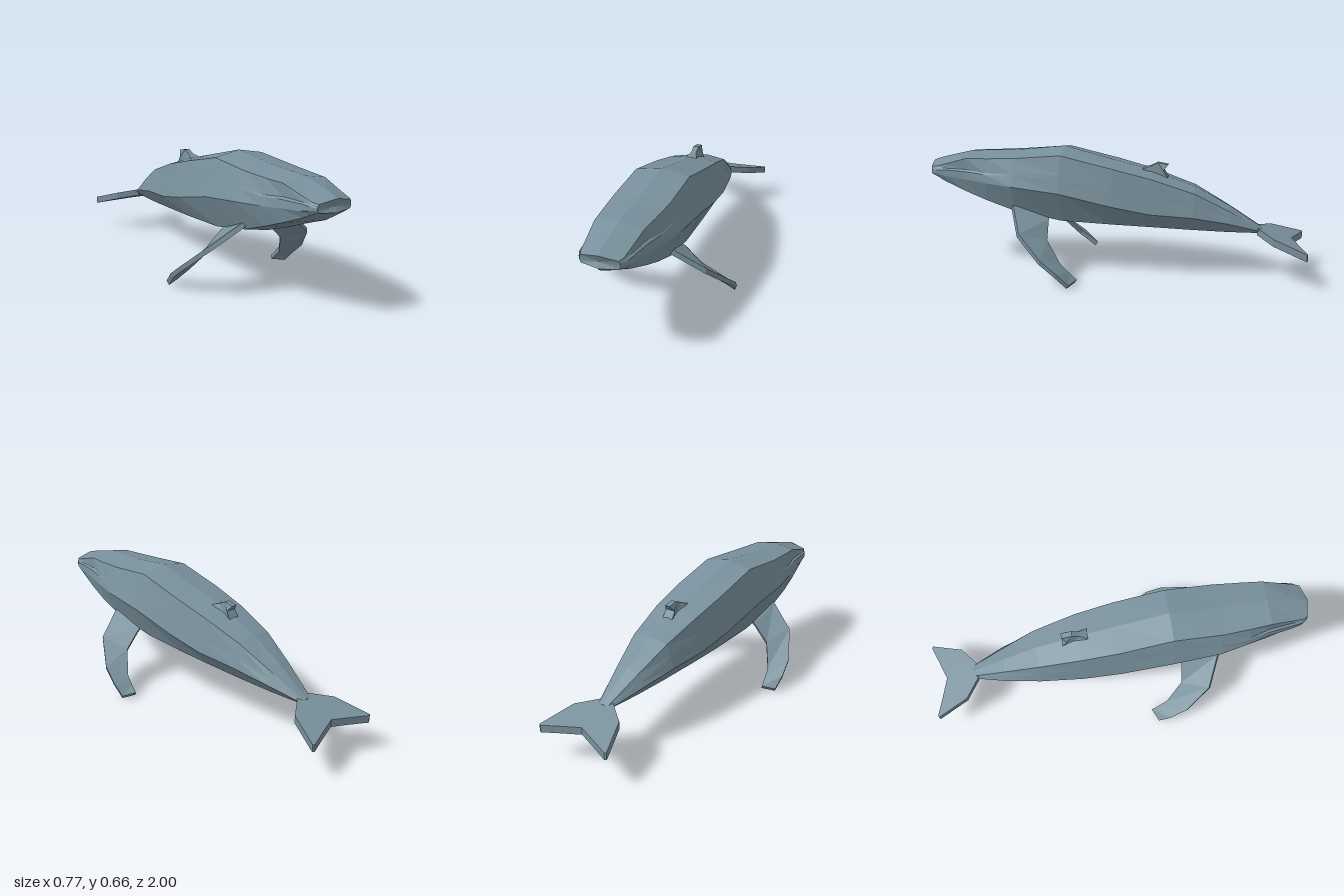
import * as THREE from 'three';

const V = (x, y, z) => new THREE.Vector3(x, y, z);

// Faceted skin through a list of closed rings, capped at both ends
function loft(rings) {
  const pos = [];
  const tri = (...pts) => pts.forEach((p) => pos.push(p.x, p.y, p.z));
  const n = rings[0].length;
  for (let i = 0; i < rings.length - 1; i++) {
    for (let j = 0; j < n; j++) {
      const k = (j + 1) % n;
      const [a, b, c, d] = [rings[i][j], rings[i][k], rings[i + 1][k], rings[i + 1][j]];
      tri(a, b, c);
      tri(a, c, d);
    }
  }
  const cap = (ring, first) => {
    const mid = ring.reduce((s, p) => s.add(p), V(0, 0, 0)).divideScalar(n);
    ring.forEach((p, j) => {
      const q = ring[(j + 1) % n];
      if (first) tri(mid, q, p);
      else tri(mid, p, q);
    });
  };
  cap(rings[0], true);
  cap(rings[rings.length - 1], false);
  const geo = new THREE.BufferGeometry();
  geo.setAttribute('position', new THREE.Float32BufferAttribute(pos, 3));
  geo.computeVertexNormals();
  return geo;
}

// Head sections: z, top y, then x,y of shoulder, upper lip, lower lip, flank, belly edge, then keel y
const HEAD = [
  [1.0, 0.565, 0.088, 0.548, 0.092, 0.54, 0.095, 0.53, 0.096, 0.52, 0.088, 0.508, 0.503],
  [0.975, 0.575, 0.1, 0.552, 0.106, 0.543, 0.114, 0.535, 0.116, 0.515, 0.102, 0.5, 0.48],
  [0.93, 0.588, 0.105, 0.565, 0.11, 0.545, 0.121, 0.538, 0.124, 0.505, 0.108, 0.475, 0.455],
  [0.78, 0.625, 0.12, 0.604, 0.122, 0.545, 0.135, 0.535, 0.14, 0.495, 0.125, 0.425, 0.402],
  [0.67, 0.63, 0.13, 0.608, 0.15, 0.535, 0.155, 0.528, 0.164, 0.485, 0.135, 0.385, 0.36],
];

// Trunk sections: z, top y, then x,y of shoulder, flank, belly edge, then keel y
const TRUNK = [
  [0.52, 0.637, 0.14, 0.616, 0.192, 0.476, 0.138, 0.335, 0.31],
  [0.27, 0.665, 0.14, 0.639, 0.197, 0.45, 0.128, 0.288, 0.27],
  [0, 0.597, 0.14, 0.578, 0.186, 0.39, 0.12, 0.277, 0.25],
  [-0.2, 0.547, 0.128, 0.528, 0.168, 0.352, 0.105, 0.268, 0.245],
  [-0.42, 0.47, 0.102, 0.455, 0.14, 0.335, 0.08, 0.255, 0.235],
  [-0.6, 0.375, 0.066, 0.36, 0.098, 0.3, 0.055, 0.245, 0.235],
  [-0.78, 0.26, 0.026, 0.257, 0.036, 0.247, 0.025, 0.238, 0.232],
];

function bodyRing(row) {
  const z = row[0];
  const half = [];
  for (let i = 2; i < row.length - 1; i += 2) half.push([row[i], row[i + 1]]);
  if (half.length === 3) {
    const [s, w] = half;
    const mix = (t) => [s[0] + (w[0] - s[0]) * t, s[1] + (w[1] - s[1]) * t];
    half.splice(1, 0, mix(0.5), mix(0.6));
  }
  const bow = z > 0.9 ? 0.02 : 0; // rounded snout tip
  const point = (s) => ([x, y]) => V(s * x, y, z - bow * (x / 0.1) ** 2);
  return [V(0, row[1], z), ...half.map(point(1)), V(0, row[row.length - 1], z),
    ...half.slice().reverse().map(point(-1))];
}

// Flipper stations: leading edge x,y,z then trailing edge x,y,z
const FLIPPER = [
  [0.09, 0.39, 0.55, 0.07, 0.33, 0.35],
  [0.155, 0.355, 0.525, 0.14, 0.285, 0.34],
  [0.295, 0.25, 0.462, 0.225, 0.2, 0.33],
  [0.368, 0.135, 0.335, 0.288, 0.092, 0.245],
  [0.38, 0.072, 0.25, 0.297, 0.055, 0.2],
  [0.37, 0.012, 0.19, 0.303, 0.022, 0.16],
];

function flipperGeometry(side) {
  const t = V(0.32, 0.8, -0.5).normalize().multiplyScalar(0.012);
  return loft(FLIPPER.map((r) => {
    const lead = V(r[0], r[1], r[2]);
    const trail = V(r[3], r[4], r[5]);
    const ring = [trail.clone().add(t), lead.clone().add(t), lead.clone().sub(t), trail.clone().sub(t)];
    ring.forEach((p) => { p.x *= side; });
    return side > 0 ? ring : ring.reverse();
  }));
}

// Notched tail fluke, extruded flat and sheared down towards the back
function flukeGeometry() {
  const half = [[0.035, 0.75], [0.14, 0.83], [0.205, 0.995], [0.195, 1.0], [0.1, 0.965]];
  const pts = [...half, [0, 0.93], ...half.slice().reverse().map(([x, s]) => [-x, s])];
  const shape = new THREE.Shape(pts.map(([x, s]) => new THREE.Vector2(x, s)));
  const geo = new THREE.ExtrudeGeometry(shape, { depth: 0.038, bevelEnabled: false });
  geo.rotateX(-Math.PI / 2);
  const p = geo.attributes.position;
  for (let i = 0; i < p.count; i++) p.setY(i, p.getY(i) + 0.152 + 0.31 * (p.getZ(i) + 1));
  geo.computeVertexNormals();
  return geo;
}

// Hooked dorsal fin, narrower towards its top
function dorsalGeometry() {
  const pts = [[0.13, 0.54], [0.15, 0.561], [0.185, 0.572], [0.225, 0.592], [0.28, 0.583],
    [0.255, 0.553], [0.28, 0.515], [0.27, 0.49]];
  const shape = new THREE.Shape(pts.map(([s, y]) => new THREE.Vector2(s, y)));
  const geo = new THREE.ExtrudeGeometry(shape, { depth: 0.056, bevelEnabled: false });
  geo.translate(0, 0, -0.028);
  geo.rotateY(Math.PI / 2); // profile length now runs along -z
  const p = geo.attributes.position;
  for (let i = 0; i < p.count; i++) {
    p.setX(i, p.getX(i) * (p.getY(i) > 0.565 ? 0.5 : 1));
  }
  geo.computeVertexNormals();
  return geo;
}

export function createModel() {
  const model = new THREE.Group();
  model.name = 'whale';
  const skin = new THREE.MeshStandardMaterial({ color: 0x78909c });
  skin.name = 'blueGreySkin';

  const add = (name, geo) => {
    const mesh = new THREE.Mesh(geo, skin);
    mesh.name = name;
    model.add(mesh);
  };

  add('body', loft([...HEAD, ...TRUNK].map(bodyRing)));
  add('leftFlipper', flipperGeometry(1));
  add('rightFlipper', flipperGeometry(-1));
  add('tailFluke', flukeGeometry());
  add('dorsalFin', dorsalGeometry());
  return model;
}
